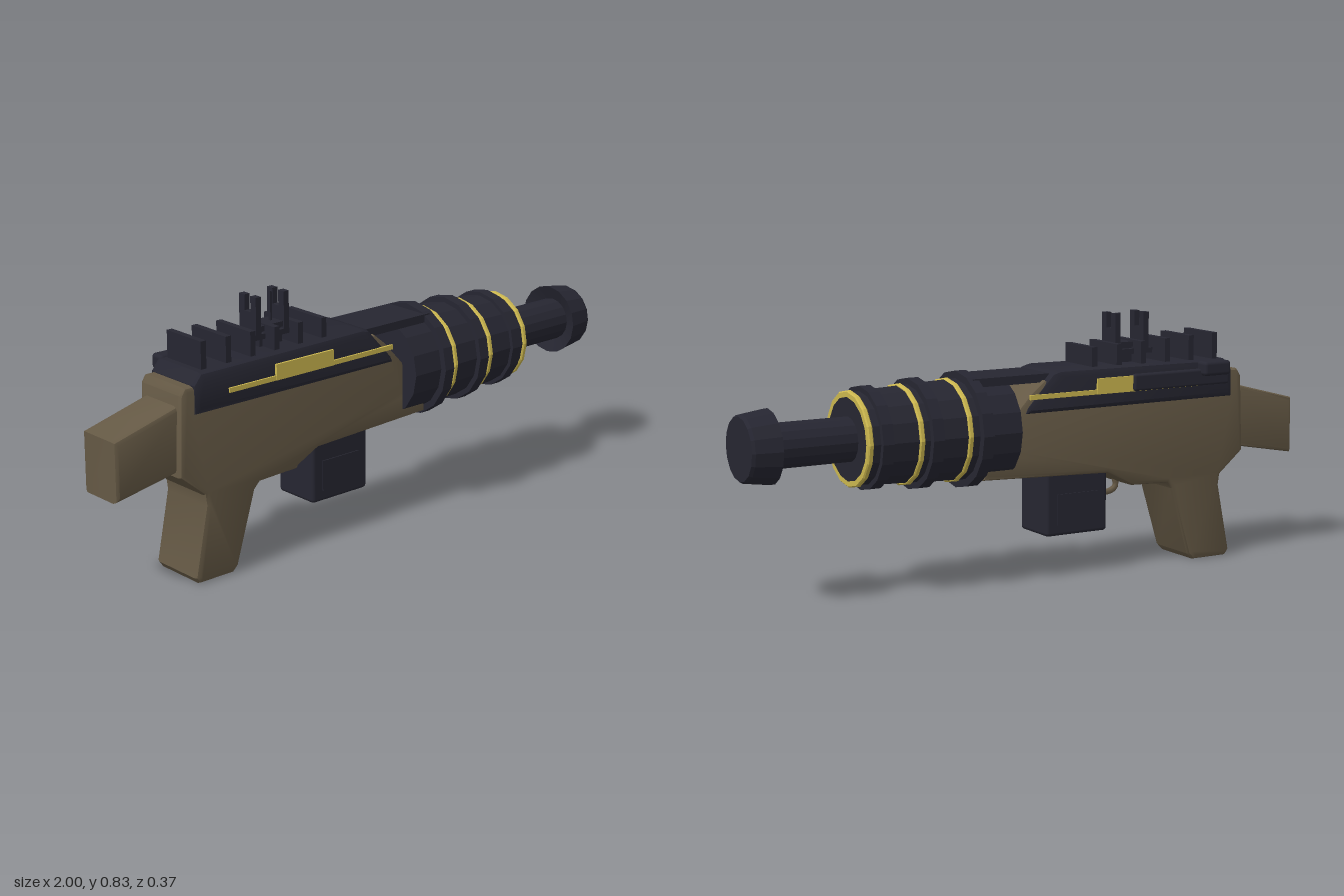
import * as THREE from 'three';
import { toCreasedNormals } from 'three/addons/utils/BufferGeometryUtils.js';
import { RoundedBoxGeometry } from 'three/addons/geometries/RoundedBoxGeometry.js';

const AXIS_Y = 0.503; // height of the barrel axis

export function createModel() {
  const model = new THREE.Group();
  const gunmetal = new THREE.MeshStandardMaterial({ color: 0x262631 });
  gunmetal.name = 'gunmetal';
  const brown = new THREE.MeshStandardMaterial({ color: 0x655945 });
  brown.name = 'brown';
  const gold = new THREE.MeshStandardMaterial({ color: 0xccb74f });
  gold.name = 'gold';

  const add = (name, geometry, material) => {
    const mesh = new THREE.Mesh(geometry, material);
    mesh.name = name;
    model.add(mesh);
    return mesh;
  };

  // Block given by its x, y and z ranges, optionally with rounded edges
  const block = (name, x0, x1, y0, y1, z0, z1, material, round = 0) => {
    const size = [x1 - x0, y1 - y0, z1 - z0];
    const geo = round ? new RoundedBoxGeometry(...size, 2, round) : new THREE.BoxGeometry(...size);
    geo.translate((x0 + x1) / 2, (y0 + y1) / 2, (z0 + z1) / 2);
    return add(name, geo, material);
  };

  // Side outline extruded symmetrically in z, with bevelled edges
  const slab = (name, points, half, bevel, material) => {
    const shape = new THREE.Shape(points.map(([x, y]) => new THREE.Vector2(x, y)));
    const geo = new THREE.ExtrudeGeometry(shape, {
      depth: 2 * (half - bevel), bevelEnabled: true, bevelThickness: bevel,
      bevelSize: bevel, bevelOffset: -bevel, bevelSegments: 2,
    });
    geo.translate(0, 0, -(half - bevel));
    return add(name, toCreasedNormals(geo, 0.6), material);
  };

  // Faceted solid of revolution along x, from [x, radius] pairs
  const turned = (name, profile, material) => {
    const geo = new THREE.LatheGeometry(profile.map(([x, r]) => new THREE.Vector2(r, x)), 16);
    geo.rotateZ(-Math.PI / 2).translate(0, AXIS_Y, 0);
    return add(name, toCreasedNormals(geo, 0.2), material);
  };

  // Stock, and body with pistol grip
  slab('stock', [[-1, 0.33], [-0.75, 0.375], [-0.75, 0.585], [-1, 0.52]], 0.08, 0.015, brown);
  slab('body', [
    [-0.78, 0.36], [-0.69, 0.285], [-0.685, 0.25], [-0.73, 0.025], [-0.715, 0.005],
    [-0.585, 0.005], [-0.565, 0.025], [-0.495, 0.255], [-0.475, 0.275], [-0.34, 0.28], [-0.24, 0.33],
    [0.22, 0.347], [0.22, 0.45], [0.13, 0.45], [0.13, 0.525], [0.05, 0.61], [0, 0.65],
    [-0.755, 0.638], [-0.77, 0.615],
  ], 0.102, 0.015, brown);

  // Receiver cover and the rail bridging to the barrel
  slab('receiverCover', [
    [-0.728, 0.545], [0.075, 0.545], [0.065, 0.57], [-0.03, 0.672], [-0.06, 0.68],
    [-0.7, 0.675], [-0.728, 0.64],
  ], 0.11, 0.02, gunmetal);
  block('topRail', -0.06, 0.25, 0.643, 0.67, -0.085, 0.085, gunmetal);

  // Cooling fins
  for (let i = 0; i < 6; i++) {
    const x = -0.67 + i * 0.094;
    block('fin', x - 0.01, x + 0.01, 0.66, 0.762 - i * 0.004, -0.082, 0.082, gunmetal);
  }

  // Rear sight
  block('sightFoot', -0.41, -0.32, 0.67, 0.73, -0.025, 0.025, gunmetal);
  block('sightBase', -0.45, -0.29, 0.705, 0.722, -0.04, 0.04, gunmetal);
  block('sightDeck', -0.43, -0.305, 0.728, 0.745, -0.035, 0.035, gunmetal);
  for (const x of [-0.425, -0.315]) {
    for (const s of [-1, 1]) {
      block('sightPost', x - 0.01, x + 0.01, 0.71, 0.84, s * 0.027 - 0.013, s * 0.027 + 0.013, gunmetal);
    }
    block('sightWeb', x - 0.01, x + 0.01, 0.71, 0.79, -0.02, 0.02, gunmetal);
  }
  block('sightPin', -0.349, -0.342, 0.74, 0.838, -0.004, 0.004, gunmetal);

  // Bolt on the right side
  block('boltRail', -0.7, -0.325, 0.595, 0.65, -0.128, -0.09, gunmetal, 0.008);
  block('boltKnob', -0.69, -0.585, 0.628, 0.676, -0.153, -0.1, gunmetal, 0.012);

  // Gilt side trim
  for (const s of [-1, 1]) {
    const z = s * 0.112;
    block('sideStripe', -0.6, 0.06, 0.594, 0.609, z - 0.004, z + 0.004, gold);
    block('sidePlate', -0.42, -0.19, 0.594, 0.645, z + s * 0.001 - 0.0045, z + s * 0.001 + 0.0045, gold);
  }

  // Magazine with raised side panels
  block('magazine', -0.25, -0.02, 0.138, 0.37, -0.083, 0.083, gunmetal, 0.012);
  for (const s of [-1, 1]) {
    block('magazinePanel', -0.21, -0.06, 0.175, 0.275, s * 0.084 - 0.003, s * 0.084 + 0.003, gunmetal);
  }

  // Trigger guard
  const guard = new THREE.CatmullRomCurve3([
    [-0.33, 0.3], [-0.335, 0.265], [-0.315, 0.25], [-0.23, 0.248],
  ].map(([x, y]) => new THREE.Vector3(x, y, 0)));
  add('triggerGuard', new THREE.TubeGeometry(guard, 12, 0.01, 6), brown);

  // Stepped barrel shroud
  turned('barrelShroud', [
    [0.117, 0], [0.117, 0.165], [0.228, 0.165], [0.228, 0.186], [0.266, 0.186], [0.266, 0.162],
    [0.397, 0.158], [0.397, 0.175], [0.435, 0.175], [0.435, 0.155],
    [0.562, 0.15], [0.562, 0.162], [0.6, 0.162], [0.6, 0.146], [0.64, 0.144], [0.64, 0],
  ], gunmetal);
  for (const [x, r] of [[0.298, 0.166], [0.464, 0.16], [0.634, 0.151]]) {
    turned('goldRing', [
      [x - 0.009, r - 0.02], [x - 0.009, r - 0.004], [x - 0.005, r],
      [x + 0.005, r], [x + 0.009, r - 0.004], [x + 0.009, r - 0.02],
    ], gold);
  }

  // Inner barrel and flared muzzle
  turned('innerBarrel', [[0.63, 0], [0.63, 0.071], [0.94, 0.071], [0.94, 0]], gunmetal);
  turned('muzzle', [
    [0.925, 0], [0.925, 0.065], [0.905, 0.117], [0.99, 0.105], [1, 0.099], [1, 0],
  ], gunmetal);

  return model;
}
